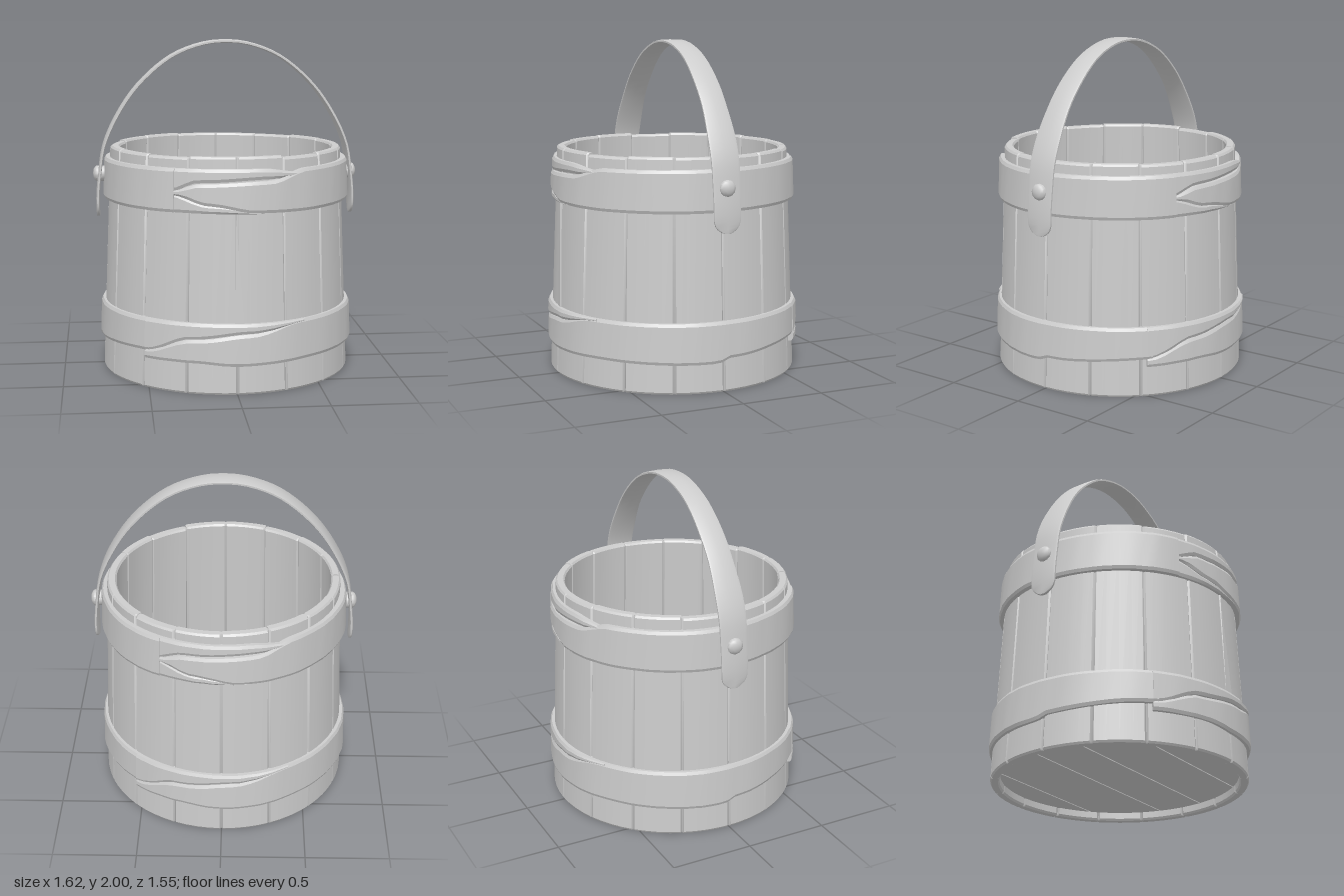
import * as THREE from 'three';
import { toCreasedNormals } from 'three/addons/utils/BufferGeometryUtils.js';

const grey = new THREE.MeshStandardMaterial({ color: 0xcccccc });
grey.name = 'plain grey';

const woodRadius = (y) => 0.757 - 0.04 * y;
const polar = (r, y, a) => [r * Math.sin(a), y, r * Math.cos(a)];

// Deterministic value in -1..1
const jitter = (n) => {
  const s = Math.sin(n * 12.9898) * 43758.5453;
  return (s - Math.floor(s)) * 2 - 1;
};

// Smooth interpolation through [position, value] stops
function ramp(stops, t) {
  if (t <= stops[0][0]) return stops[0][1];
  for (let i = 1; i < stops.length; i++) {
    const [a, va] = stops[i - 1], [b, vb] = stops[i];
    if (t <= b) return THREE.MathUtils.lerp(va, vb, THREE.MathUtils.smoothstep(t, a, b));
  }
  return stops[stops.length - 1][1];
}

// Solid through equal rings; each ring runs along the outer side, then back along the inner
function loft(rings, crease = 0.5) {
  const pos = [];
  const n = rings[0].length;
  const quad = (a, b, c, d) => pos.push(...a, ...b, ...c, ...a, ...c, ...d);
  for (let i = 0; i < rings.length - 1; i++) {
    const p = rings[i], q = rings[i + 1];
    for (let k = 0; k < n; k++) quad(p[k], p[(k + 1) % n], q[(k + 1) % n], q[k]);
  }
  const first = rings[0], last = rings[rings.length - 1];
  for (let k = 0; k < n / 2 - 1; k++) {
    quad(first[n - 1 - k], first[n - 2 - k], first[k + 1], first[k]);
    quad(last[k], last[k + 1], last[n - 2 - k], last[n - 1 - k]);
  }
  // Turn the solid outward if its signed volume is negative
  const v = [new THREE.Vector3(), new THREE.Vector3(), new THREE.Vector3()];
  let volume = 0;
  for (let i = 0; i < pos.length; i += 9) {
    v.forEach((p, k) => p.fromArray(pos, i + k * 3));
    volume += v[0].dot(v[1].clone().cross(v[2]));
  }
  if (volume < 0) {
    for (let i = 0; i < pos.length; i += 9) {
      for (let k = 0; k < 3; k++) {
        [pos[i + 3 + k], pos[i + 6 + k]] = [pos[i + 6 + k], pos[i + 3 + k]];
      }
    }
  }
  const geo = new THREE.BufferGeometry();
  geo.setAttribute('position', new THREE.Float32BufferAttribute(pos, 3));
  return toCreasedNormals(geo, crease);
}

function add(parent, name, geo) {
  const mesh = new THREE.Mesh(geo, grey);
  mesh.name = name;
  parent.add(mesh);
  return mesh;
}

// One tapered stave with grooved seams and softened ends
function stave(index, count) {
  const mid = (index + 0.5) * Math.PI * 2 / count, half = Math.PI / count;
  const top = 1.36 + 0.006 * jitter(index + 1);
  const spread = [-1, -0.93, -0.5, 0, 0.5, 0.93, 1];
  const ring = (y, inset) => {
    const side = (r, groove) => spread.map((s) =>
      polar(r + (Math.abs(s) === 1 ? groove : 0), y, mid + s * half));
    const r = woodRadius(y);
    return [...side(r - inset, -0.01), ...side(r - 0.055 + inset, 0.008).reverse()];
  };
  return loft([ring(0, 0.008), ring(0.012, 0), ring(top - 0.012, 0), ring(top, 0.009)]);
}

// Strip of band wrapped around the bucket between two angles
function strap(from, to, low, high, thick) {
  const rings = [];
  const steps = Math.ceil((to - from) / 0.07);
  for (let i = 0; i <= steps; i++) {
    const a = from + (to - from) * i / steps;
    const lo = ramp(low, a), hi = ramp(high, a);
    const bevel = Math.min(0.018, (hi - lo) * 0.3);
    const t = thick + 0.003 * Math.sin(a * 6) + 0.002 * jitter(i + thick * 100);
    const ys = [lo, lo + bevel, hi - bevel, hi];
    const outer = ys.map((y, k) => polar(woodRadius(y) + t - (k % 3 ? 0 : 0.009), y, a));
    const inner = ys.map((y) => polar(woodRadius(y) - 0.012, y, a)).reverse();
    rings.push([...outer, ...inner]);
  }
  return loft(rings, 0.35);
}

// Band made of two identical halves whose ends overlap at front and back
function band(name, pieces) {
  const group = new THREE.Group();
  group.name = name;
  for (const turn of [0, Math.PI]) {
    for (const [label, ...args] of pieces) add(group, label, strap(...args)).rotation.y = turn;
  }
  return group;
}

// Floor board: slice of a disc between two z positions
function board(z0, z1, r) {
  const a0 = Math.acos(THREE.MathUtils.clamp(z0 / r, -1, 1));
  const a1 = Math.acos(THREE.MathUtils.clamp(z1 / r, -1, 1));
  const pts = [];
  for (const s of [1, -1]) {
    for (let i = 0; i <= 12; i++) {
      const a = s > 0 ? a0 + (a1 - a0) * i / 12 : a1 + (a0 - a1) * i / 12;
      pts.push(new THREE.Vector2(s * r * Math.sin(a), -r * Math.cos(a)));
    }
  }
  const geo = new THREE.ExtrudeGeometry(new THREE.Shape(pts), { depth: 0.06, bevelEnabled: false });
  return geo.rotateX(-Math.PI / 2).translate(0, 0.05, 0);
}

// Bent handle strap, wide at its rounded ends
function handleGeometry() {
  const right = [[0.78, 0.93], [0.782, 1.05], [0.768, 1.2], [0.742, 1.36], [0.66, 1.545],
    [0.53, 1.73], [0.33, 1.9], [0.14, 1.975]];
  const points = [...right, [0, 1.99], ...right.map(([x, y]) => [-x, y]).reverse()]
    .map(([x, y]) => new THREE.Vector3(x, y, 0));
  const curve = new THREE.CatmullRomCurve3(points);
  const length = curve.getLength();
  const us = [0.0005, 0.003, 0.008, 0.015, 0.024];
  for (let i = 2; i < 54; i++) us.push(i / 55);
  us.push(...us.slice(0, 5).map((u) => 1 - u).reverse());
  const rings = us.map((u) => {
    const p = curve.getPointAt(u), t = curve.getTangentAt(u);
    const end = Math.min(u, 1 - u) * length;
    let w = ramp([[0, 0.083], [0.5, 0.086], [0.8, 0.075], [1.3, 0.066]], end);
    if (end < w) w *= Math.sqrt(1 - (1 - end / w) ** 2);
    const at = (z, d) => [p.x - t.y * d, p.y + t.x * d, z];
    const zs = [-1, -0.85, 0, 0.85, 1].map((s) => s * w);
    const depth = [0.005, 0.009, 0.011, 0.009, 0.005];
    return [...zs.map((z, k) => at(z, depth[k])), ...zs.map((z, k) => at(z, -depth[k])).reverse()];
  });
  return loft(rings, 0.6);
}

export function createModel() {
  const model = new THREE.Group();
  model.name = 'bucket';

  // Staves
  const staves = new THREE.Group();
  staves.name = 'staves';
  for (let i = 0; i < 16; i++) add(staves, 'stave', stave(i, 16));
  model.add(staves);

  // Split sliver of wood at the front seam
  const sliver = (y, w) => {
    const r = woodRadius(y);
    const a = [-0.02, -0.02 + w];
    return [...a.map((v, k) => polar(r + 0.002 + 0.007 * k, y, v)),
      ...a.reverse().map((v) => polar(r - 0.02, y, v))];
  };
  add(model, 'splitSliver', loft([sliver(0.4, 0.075), sliver(1.05, 0.006)]));

  // Floor boards over a thin core that closes the gaps
  const floor = new THREE.Group();
  floor.name = 'floor';
  const cuts = [-0.715, -0.53, -0.15, 0.14, 0.47, 0.715];
  for (let i = 0; i < 5; i++) add(floor, 'floorBoard', board(cuts[i] + 0.004, cuts[i + 1] - 0.004, 0.715));
  add(floor, 'floorCore', new THREE.CylinderGeometry(0.71, 0.71, 0.03, 48)).position.y = 0.08;
  model.add(floor);

  // Upper band: a pointed tongue held between two prongs
  model.add(band('upperBand', [
    ['bandBody', -0.53, Math.PI - 0.5,
      [[-0.53, 1.15], [-0.2, 1.09], [0.15, 1.05], [0.6, 1.045], [2.6, 1.05]],
      [[-0.53, 1.17], [-0.3, 1.215], [0.25, 1.23], [0.6, 1.29], [2.6, 1.3]], 0.034],
    ['upperProng', -0.55, 0.55,
      [[-0.55, 1.165], [-0.3, 1.222], [0.25, 1.24], [0.55, 1.25]],
      [[-0.55, 1.3], [0.2, 1.3], [0.55, 1.27]], 0.029],
    ['lowerProng', -0.55, 0.2,
      [[-0.55, 1.05], [0.2, 1.045]],
      [[-0.55, 1.16], [-0.2, 1.095], [0.2, 1.055]], 0.027],
  ]));

  // Lower band: a blunt tongue lapped under a long tapering end
  model.add(band('lowerBand', [
    ['bandBody', -0.74, Math.PI - 0.7,
      [[-0.74, 0.185], [-0.3, 0.185], [0, 0.17], [0.6, 0.18], [1.52, 0.175], [1.6, 0.2], [2.4, 0.23]],
      [[-0.74, 0.24], [-0.35, 0.32], [0.1, 0.355], [0.5, 0.415], [2.4, 0.42]], 0.026],
    ['taperedEnd', -0.74, 0.55,
      [[-0.74, 0.23], [-0.35, 0.325], [0.1, 0.36], [0.55, 0.4]],
      [[-0.74, 0.42], [0.55, 0.415]], 0.029],
  ]));

  // Handle and its rivets
  add(model, 'handle', handleGeometry());
  for (const side of [1, -1]) {
    const profile = [[0, 0.022], [0.025, 0.019], [0.042, 0.01], [0.048, 0], [0.048, -0.05], [0, -0.05]]
      .map(([r, y]) => new THREE.Vector2(r, y)).reverse();
    const rivet = add(model, 'rivet', toCreasedNormals(new THREE.LatheGeometry(profile, 12), 0.7));
    rivet.rotation.z = -side * Math.PI / 2;
    rivet.position.set(side * 0.788, 1.19, 0);
  }
  return model;
}
